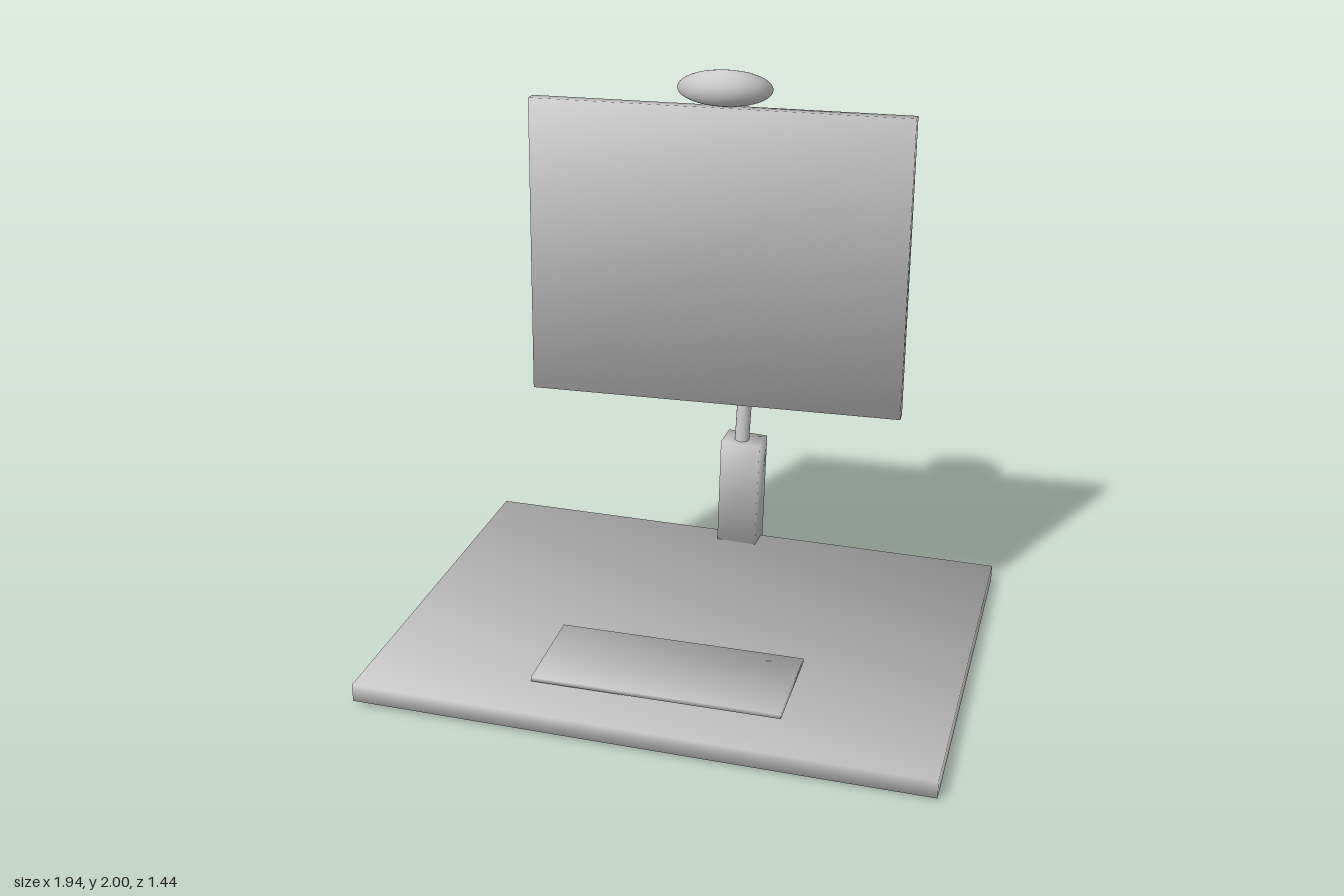
import * as THREE from 'three';

const V = (x, y, z) => new THREE.Vector3(x, y, z);

export function createModel() {
  const model = new THREE.Group();
  const material = new THREE.MeshStandardMaterial({ color: 0xcccccc });

  function add(name, geometry, position = [0, 0, 0], rotation = [0, 0, 0]) {
    const mesh = new THREE.Mesh(geometry, material);
    mesh.name = name;
    mesh.position.set(...position);
    mesh.rotation.set(...rotation, 'YXZ');
    model.add(mesh);
  }

  // Box shaded smoothly across its edges: every corner normal points diagonally outward
  function softBox(w, h, d) {
    const box = new THREE.BoxGeometry(w, h, d);
    const { position, normal } = box.attributes;
    for (let i = 0; i < position.count; i++) {
      const n = V(Math.sign(position.getX(i)), Math.sign(position.getY(i)), Math.sign(position.getZ(i))).normalize();
      normal.setXYZ(i, n.x, n.y, n.z);
    }
    return box;
  }

  // Flattened ball that keeps the round shading of a sphere
  function ellipsoid(rx, ry, rz) {
    const ball = new THREE.SphereGeometry(1, 32, 20);
    const normals = ball.attributes.normal.clone();
    ball.scale(rx, ry, rz);
    ball.setAttribute('normal', normals);
    return ball;
  }

  const tube = (points, radius) =>
    new THREE.TubeGeometry(new THREE.CatmullRomCurve3(points), 20, radius, 18);

  // Desk top and keyboard, each lying slightly askew
  add('deskTop', softBox(1.94, 0.062, 1.41), [0, 0.042, 0.015], [-0.005, 0, -0.006]);
  add('keyboard', softBox(0.85, 0.016, 0.316), [0.02, 0.107, 0.392], [0.065, -0.017, 0.015]);

  // Stand: post clamped over the rear edge, pole, elbow and curved arm
  add('standPost', softBox(0.15, 0.44, 0.108), [0.01, 0.268, -0.66], [0.02, -0.04, -0.035]);
  add('lowerPole', tube([V(0.008, 0.44, -0.648), V(0.016, 0.62, -0.655), V(0.022, 0.79, -0.66)], 0.027));
  add('elbowJoint', ellipsoid(0.056, 0.037, 0.055), [0.012, 0.794, -0.643]);
  add('upperArm', tube([
    V(0.01, 0.795, -0.645), V(-0.008, 0.89, -0.583), V(-0.014, 1.09, -0.442),
    V(-0.006, 1.25, -0.32), V(0.005, 1.32, -0.262)], 0.029));
  add('mountJoint', ellipsoid(0.04, 0.04, 0.036), [0.005, 1.328, -0.26]);

  // Screen with its rear mounting plate, turned and leaning back
  add('mountPlate', softBox(0.36, 0.255, 0.085), [0.01, 1.346, -0.182], [-0.06, 0.047, 0]);
  add('screen', softBox(1.268, 1.006, 0.048), [0.046, 1.381, -0.125], [-0.053, 0.047, 0]);

  // Camera pod resting on the top edge
  add('cameraPod', ellipsoid(0.156, 0.059, 0.096), [0.058, 1.939, -0.172], [-0.2, 0.1, 0]);

  return model;
}
